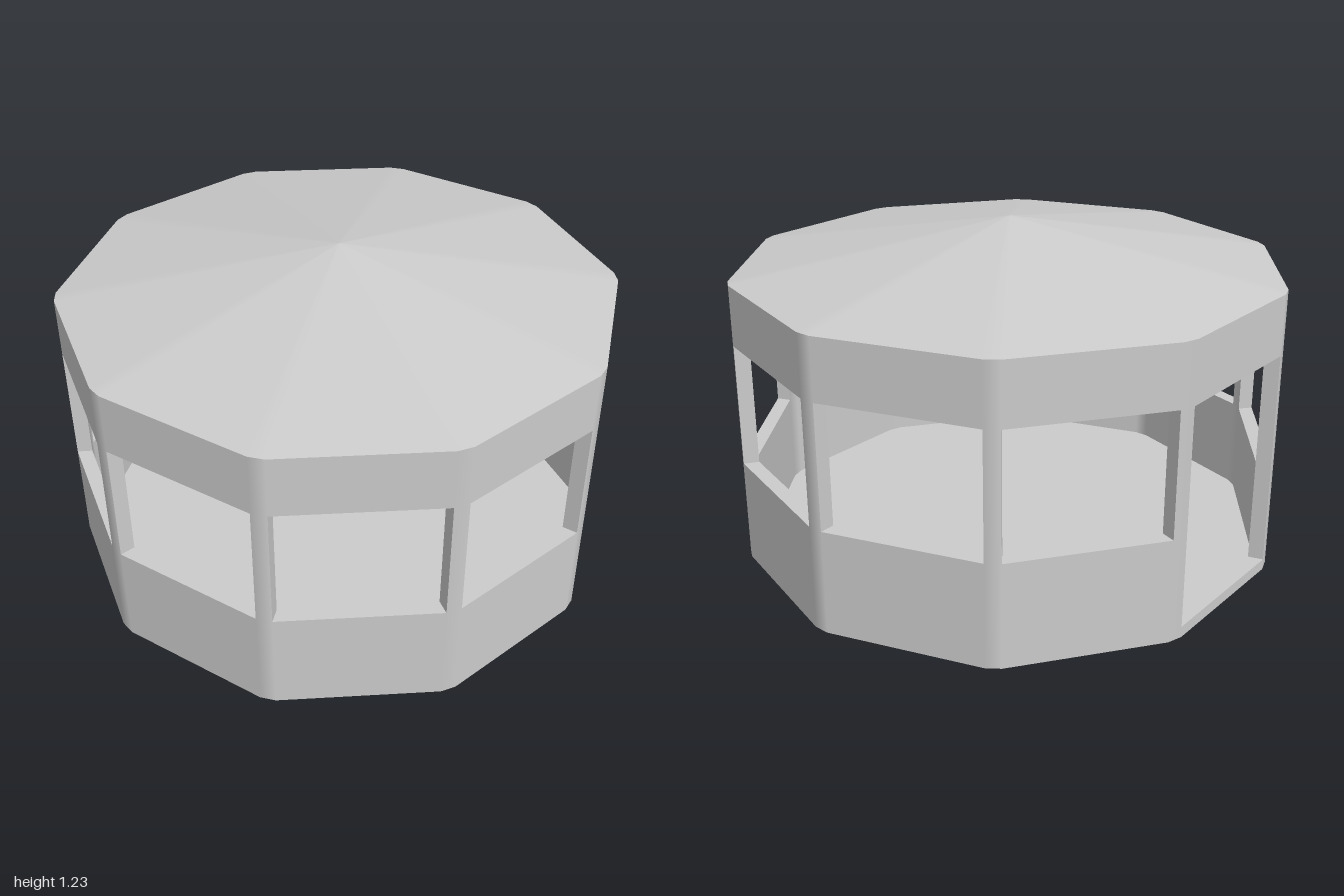
import * as THREE from 'three';

const SIDES = 10, STEP = 36, TURN = -1.5, HALF = 1.6; // degrees
const OUTER = 1, INNER = 0.945;
const FLOOR = 0.04, SILL = 0.38, LINTEL = 0.83, EAVE = 1.05, APEX = 1.225;
const DOOR = 5; // panel left open down to the floor
const rad = THREE.MathUtils.degToRad;
const material = new THREE.MeshStandardMaterial({ color: 0xcccccc, side: THREE.DoubleSide });

// Angles of the two edges of each post, for count posts from the given one
function edgeAngles(first, count) {
  const angles = [];
  for (let k = first; k < first + count; k++)
    angles.push(rad(TURN + k * STEP - HALF), rad(TURN + k * STEP + HALF));
  return angles;
}

const arc = (angles, r) => angles.map(a => new THREE.Vector2(r * Math.cos(a), -r * Math.sin(a)));

// Angle of the middle of the wall panel nearest to an angle
function panelAngle(a) {
  const mid = rad(TURN + STEP / 2), step = rad(STEP);
  return mid + Math.round((a - mid) / step) * step;
}

// Extrude a plan upward, blending the narrow corner faces into the flat panels
function raise(shape, y0, y1) {
  const g = new THREE.ExtrudeGeometry(shape, { depth: y1 - y0, bevelEnabled: false });
  g.rotateX(-Math.PI / 2).translate(0, y0, 0);
  const p = g.attributes.position, n = g.attributes.normal;
  for (let i = 0; i < p.count; i++) {
    const a = Math.atan2(p.getZ(i), p.getX(i));
    const facing = n.getX(i) * Math.cos(a) + n.getZ(i) * Math.sin(a);
    if (Math.abs(facing) < 0.9) continue;
    const c = panelAngle(a), s = Math.sign(facing);
    n.setXYZ(i, s * Math.cos(c), 0, s * Math.sin(c));
  }
  return g;
}

// Plan of a length of wall, open at both ends
const wallPlan = angles =>
  new THREE.Shape([...arc(angles, OUTER), ...arc(angles, INNER).reverse()]);

// Shallow pyramid with softened hips
function roofGeometry() {
  const pos = [], nor = [], angles = edgeAngles(0, SIDES);
  const slope = (APEX - EAVE) / Math.cos(rad(STEP / 2));
  const normal = c => new THREE.Vector3(Math.cos(c), 1 / slope, Math.sin(c)).normalize().toArray();
  angles.forEach((a, i) => {
    const b = angles[(i + 1) % angles.length] + (i + 1 === angles.length ? 2 * Math.PI : 0);
    pos.push(0, APEX, 0, Math.cos(b), EAVE, Math.sin(b), Math.cos(a), EAVE, Math.sin(a));
    nor.push(...normal((a + b) / 2), ...normal(panelAngle(b)), ...normal(panelAngle(a)));
  });
  const g = new THREE.BufferGeometry();
  g.setAttribute('position', new THREE.Float32BufferAttribute(pos, 3));
  g.setAttribute('normal', new THREE.Float32BufferAttribute(nor, 3));
  return g;
}

export function createModel() {
  const group = new THREE.Group();
  const add = (name, geometry) => {
    const mesh = new THREE.Mesh(geometry, material);
    mesh.name = name;
    group.add(mesh);
  };
  const all = edgeAngles(0, SIDES);

  // Floor slab, also the door threshold
  add('floor', raise(new THREE.Shape(arc(all, OUTER)), 0, FLOOR));

  // Low wall running round from one side of the doorway to the other
  add('lowerWall', raise(wallPlan(edgeAngles(DOOR + 1, SIDES)), FLOOR, SILL));

  // Posts between the openings
  for (let k = 0; k < SIDES; k++)
    add('post' + (k + 1), raise(wallPlan(edgeAngles(k, 1)), SILL, LINTEL));

  // Closed band above the openings
  const band = new THREE.Shape(arc(all, OUTER));
  band.holes.push(new THREE.Path(arc(all, INNER)));
  add('upperBand', raise(band, LINTEL, EAVE));

  add('roof', roofGeometry());
  return group;
}
